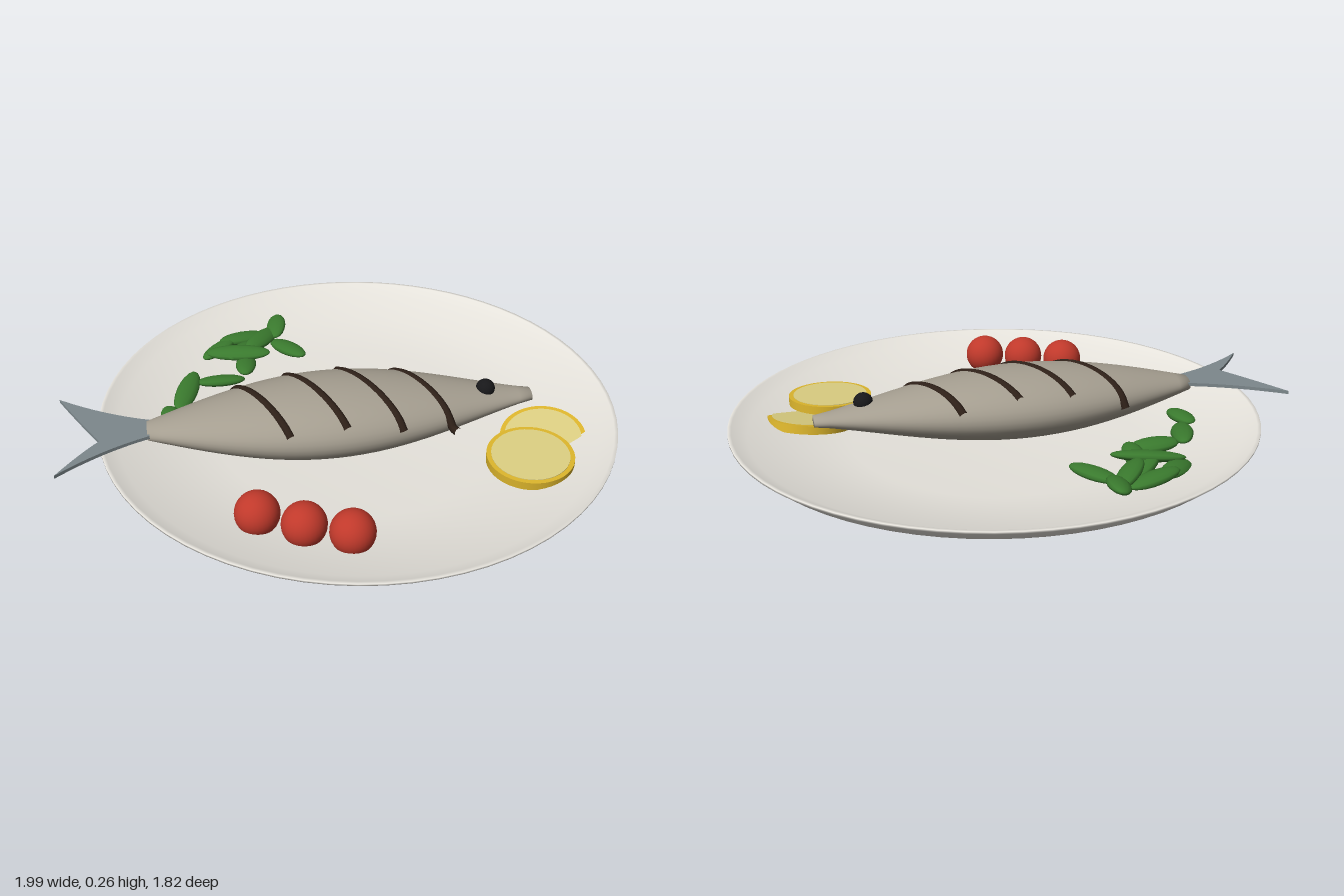
import * as THREE from 'three';

const mat = (color, extra = {}) => new THREE.MeshStandardMaterial({ color, ...extra });
const V2 = (x, y) => new THREE.Vector2(x, y);

const FISH = { x: 0.005, y: 0.14, z: 0.02, angle: 0.342, half: 0.685, squash: 0.555 };

// half width of the fish at distance t along its axis (tail negative, head positive)
function fishWidth(t) {
  const s = t + 0.05;
  return s > 0
    ? 0.033 + 0.18 * Math.pow(Math.max(0, Math.cos((Math.PI / 2) * s / 0.735)), 1.2)
    : 0.045 + 0.168 * Math.max(0, Math.cos((Math.PI / 2) * s / 0.635));
}

// height of the fish's upper skin above a point of the plate
function skinHeight(x, z) {
  const c = Math.cos(FISH.angle), s = Math.sin(FISH.angle);
  const dx = x - FISH.x, dz = z - FISH.z;
  const w = fishWidth(dx * c + dz * s), d = -dx * s + dz * c;
  return FISH.y + FISH.squash * Math.sqrt(Math.max(0, w * w - d * d));
}

export function createModel() {
  const model = new THREE.Group();
  const add = (name, geometry, material, parent = model) => {
    const mesh = new THREE.Mesh(geometry, material);
    mesh.name = name;
    parent.add(mesh);
    return mesh;
  };
  const group = (name) => {
    const g = new THREE.Group();
    g.name = name;
    model.add(g);
    return g;
  };

  // plate
  const plateProfile = [
    [0, 0], [0.505, 0], [0.7, 0.035], [0.86, 0.085], [0.912, 0.128], [0.912, 0.135],
    [0.9, 0.135], [0.85, 0.108], [0.7, 0.074], [0.5, 0.035], [0, 0.03],
  ].map(([r, y]) => V2(r, y));
  add('plate', new THREE.LatheGeometry(plateProfile, 72), mat(0xe6e3dc)).position.x = 0.075;

  // fish body: a turned profile laid down and flattened
  const profile = [V2(0, -FISH.half)];
  for (let i = 0; i <= 28; i++) {
    const t = -FISH.half + (2 * FISH.half * i) / 28;
    profile.push(V2(fishWidth(t), t));
  }
  profile.push(V2(0, FISH.half));
  const bodyGeo = new THREE.LatheGeometry(profile, 40).rotateZ(-Math.PI / 2).scale(1, FISH.squash, 1);
  const body = add('fishBody', bodyGeo, mat(0xa59e90));
  body.position.set(FISH.x, FISH.y, FISH.z);
  body.rotation.y = -FISH.angle;

  // tail fin, drawn in plan (x, z) and laid flat
  const fin = new THREE.Shape();
  fin.moveTo(-0.61, -0.245);
  fin.quadraticCurveTo(-0.74, -0.35, -0.85, -0.52);
  fin.quadraticCurveTo(-0.83, -0.34, -0.81, -0.215);
  fin.quadraticCurveTo(-0.89, -0.18, -1, -0.107);
  fin.quadraticCurveTo(-0.82, -0.165, -0.65, -0.16);
  fin.closePath();
  const finGeo = new THREE.ExtrudeGeometry(fin, { depth: 0.012, bevelEnabled: false, curveSegments: 8 });
  add('tailFin', finGeo.rotateX(Math.PI / 2), mat(0x7d888c, { side: THREE.DoubleSide })).position.y = 0.153;

  // eye
  add('eye', new THREE.SphereGeometry(0.034, 20, 14), mat(0x18181a)).position.set(0.485, 0.188, 0.2);

  // grill marks following the skin
  const marks = group('grillMarks');
  const markMat = mat(0x2e2018);
  [[-0.298, -0.265, -0.252, 0.12], [-0.112, -0.2, -0.07, 0.185],
    [0.065, -0.135, 0.113, 0.25], [0.252, -0.07, 0.297, 0.31]].forEach(([x0, z0, x1, z1]) => {
    const points = [];
    for (let i = 0; i <= 16; i++) {
      const x = x0 + ((x1 - x0) * i) / 16, z = z0 + ((z1 - z0) * i) / 16;
      points.push(new THREE.Vector3(x, skinHeight(x, z) - 0.008, z));
    }
    add('grillMark', new THREE.TubeGeometry(new THREE.CatmullRomCurve3(points), 40, 0.015, 8), markMat, marks);
  });

  // cherry tomatoes
  const tomatoes = group('tomatoes');
  const tomatoMat = mat(0xc0392b);
  [[-0.485, 0.335], [-0.38, 0.455], [-0.265, 0.56]].forEach(([x, z]) =>
    add('tomato', new THREE.SphereGeometry(0.074, 28, 20), tomatoMat, tomatoes).position.set(x, 0.111, z));

  // lemon slices: rind disc with a paler pulp disc on each side
  const rindMat = mat(0xdcb52c), pulpMat = mat(0xdccf82);
  function lemonSlice(x, y, z, slopeX, slopeZ) {
    const slice = group('lemonSlice');
    add('rind', new THREE.CylinderGeometry(0.149, 0.149, 0.03, 40), rindMat, slice);
    add('pulp', new THREE.CylinderGeometry(0.133, 0.133, 0.034, 40), pulpMat, slice);
    slice.position.set(x, y, z);
    slice.rotation.set(slopeZ, 0, slopeX);
  }
  lemonSlice(0.455, 0.098, 0.515, 0.04, 0.03);
  lemonSlice(0.585, 0.07, 0.42, 0.15, 0.1);

  // herb leaves: x0, z0 to x1, z1 of each leaf and its height
  const herbs = group('herbs');
  const leafMat = mat(0x3a7a2e);
  const leafGeo = new THREE.SphereGeometry(1, 12, 10).rotateZ(Math.PI / 2);
  [
    [-0.515, -0.26, -0.495, -0.4, 0.075], [-0.465, -0.36, -0.325, -0.54, 0.08],
    [-0.34, -0.49, -0.165, -0.435, 0.075], [-0.165, -0.43, -0.09, -0.58, 0.085],
    [-0.235, -0.635, -0.025, -0.5, 0.105], [-0.25, -0.63, -0.09, -0.69, 0.085],
    [-0.155, -0.685, 0.045, -0.675, 0.09], [-0.09, -0.57, 0.085, -0.675, 0.1],
    [0.05, -0.61, 0.125, -0.74, 0.105], [0.04, -0.62, 0.095, -0.445, 0.085],
    [-0.18, -0.555, 0.0, -0.635, 0.09],
  ].forEach(([x0, z0, x1, z1, y], i) => {
    const leaf = add('leaf', leafGeo, leafMat, herbs);
    leaf.position.set((x0 + x1) / 2, y, (z0 + z1) / 2);
    leaf.scale.set(Math.hypot(x1 - x0, z1 - z0) / 2, 0.019, 0.039);
    leaf.rotation.set(0.25 * Math.sin(i * 2.1), -Math.atan2(z1 - z0, x1 - x0), 0.12 * Math.sin(i * 1.7), 'YXZ');
  });

  return model;
}
